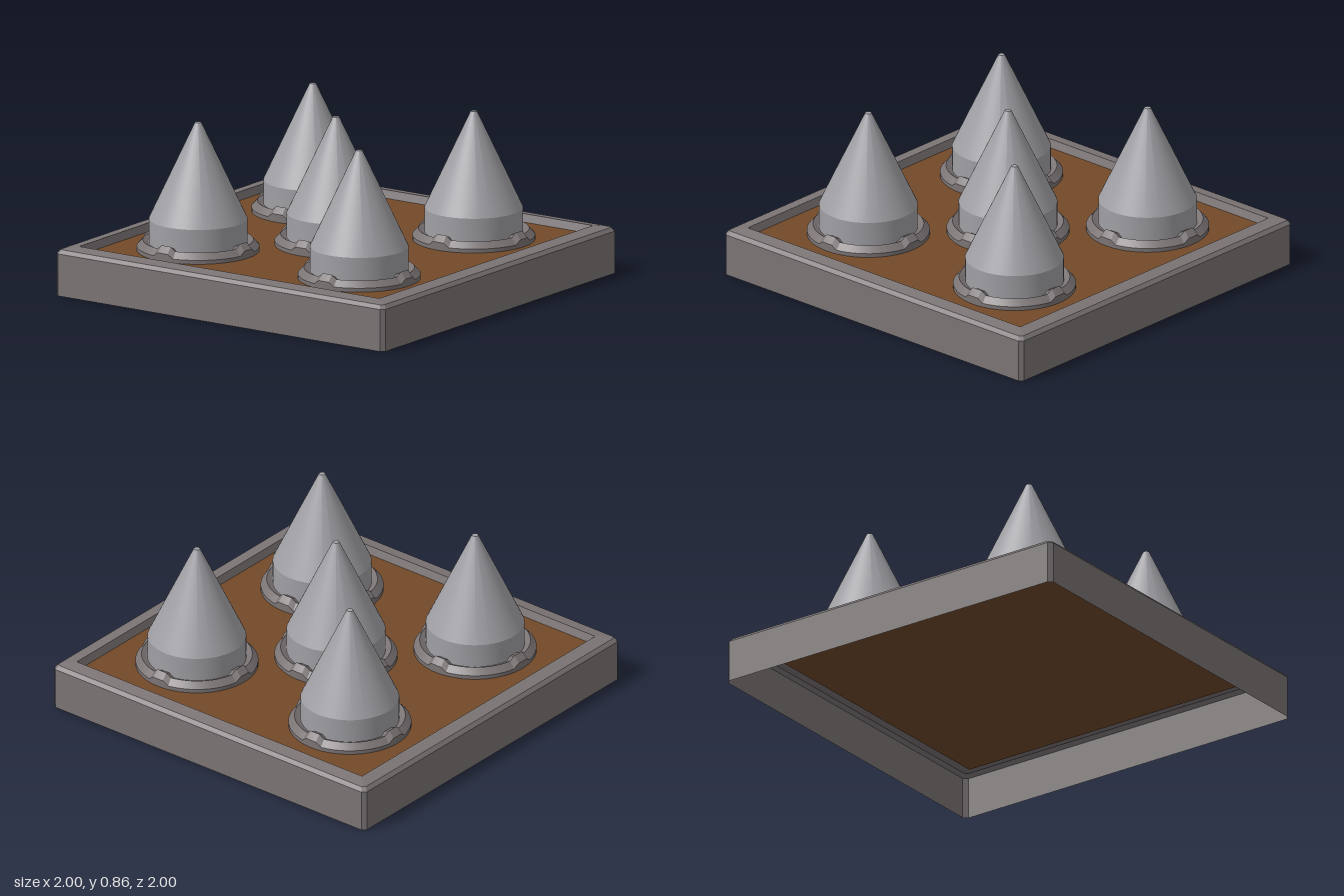
import * as THREE from 'three';
import { toCreasedNormals } from 'three/addons/utils/BufferGeometryUtils.js';

const FLOOR = 0.205;
const stone = new THREE.MeshStandardMaterial({ color: 0x7b7475, side: THREE.DoubleSide });
const wood = new THREE.MeshStandardMaterial({ color: 0x734a2a, side: THREE.DoubleSide });
const metal = new THREE.MeshStandardMaterial({ color: 0xa09fa4 });

function add(parent, name, geometry, material) {
  const mesh = new THREE.Mesh(geometry, material);
  mesh.name = name;
  parent.add(mesh);
  return mesh;
}

// Open shell through square rings [half size, height, corner chamfer]
function squareLoft(rings) {
  const points = [], index = [];
  for (const [h, y, c] of rings) {
    const k = h - c;
    for (const [x, z] of [[h, -k], [h, k], [k, h], [-k, h], [-h, k], [-h, -k], [-k, -h], [k, -h]]) {
      points.push(x, y, z);
    }
  }
  for (let r = 0; r < rings.length - 1; r++) {
    for (let i = 0; i < 8; i++) {
      const a = r * 8 + i, b = r * 8 + (i + 1) % 8;
      index.push(a, a + 8, b, b, a + 8, b + 8);
    }
  }
  const g = new THREE.BufferGeometry();
  g.setAttribute('position', new THREE.Float32BufferAttribute(points, 3));
  g.setIndex(index);
  const flat = g.toNonIndexed();
  flat.computeVertexNormals();
  return flat;
}

function lathe(profile) {
  return new THREE.LatheGeometry(profile.map(([r, y]) => new THREE.Vector2(r, y)), 64);
}

// Collar ring with a raised lug on each of its four sides
function collarGeometry() {
  const g = lathe([[0.305, FLOOR], [0.305, 0.225], [0.275, 0.257], [0.25, 0.242], [0.24, 0.242]]);
  const p = g.attributes.position;
  const quarter = Math.PI / 2;
  for (let i = 0; i < p.count; i++) {
    if (p.getY(i) < FLOOR + 0.01) continue;
    const angle = Math.atan2(p.getZ(i), p.getX(i));
    const off = Math.abs(angle - Math.round(angle / quarter) * quarter);
    if (off < 0.12) p.setY(i, p.getY(i) + 0.021);
  }
  return toCreasedNormals(g, 0.3);
}

export function createModel() {
  const model = new THREE.Group();
  model.name = 'spikeTrap';

  // Hollow frame: walls, bevelled rim and inner lip
  add(model, 'frame', squareLoft([
    [1, 0, 0.02], [1, 0.215, 0.02], [0.983, 0.234, 0.015], [0.913, 0.245, 0.003], [0.9, FLOOR, 0.002],
  ]), stone);

  // Floor panel
  const panel = add(model, 'floorPanel', new THREE.PlaneGeometry(1.8, 1.8), wood);
  panel.rotation.x = -Math.PI / 2;
  panel.position.y = FLOOR;

  // Five spikes, each standing in a collar
  const spike = toCreasedNormals(lathe([
    [0.245, FLOOR], [0.245, 0.365], [0.016, 0.855], [0, 0.855],
  ]), 0.3);
  const collar = collarGeometry();
  for (const [x, z] of [[0, 0], [1, 1], [1, -1], [-1, 1], [-1, -1]]) {
    const unit = new THREE.Group();
    unit.name = 'spikeUnit';
    unit.position.set(x * 0.49, 0, z * 0.49);
    add(unit, 'spike', spike, metal);
    add(unit, 'collar', collar, stone);
    model.add(unit);
  }
  return model;
}
